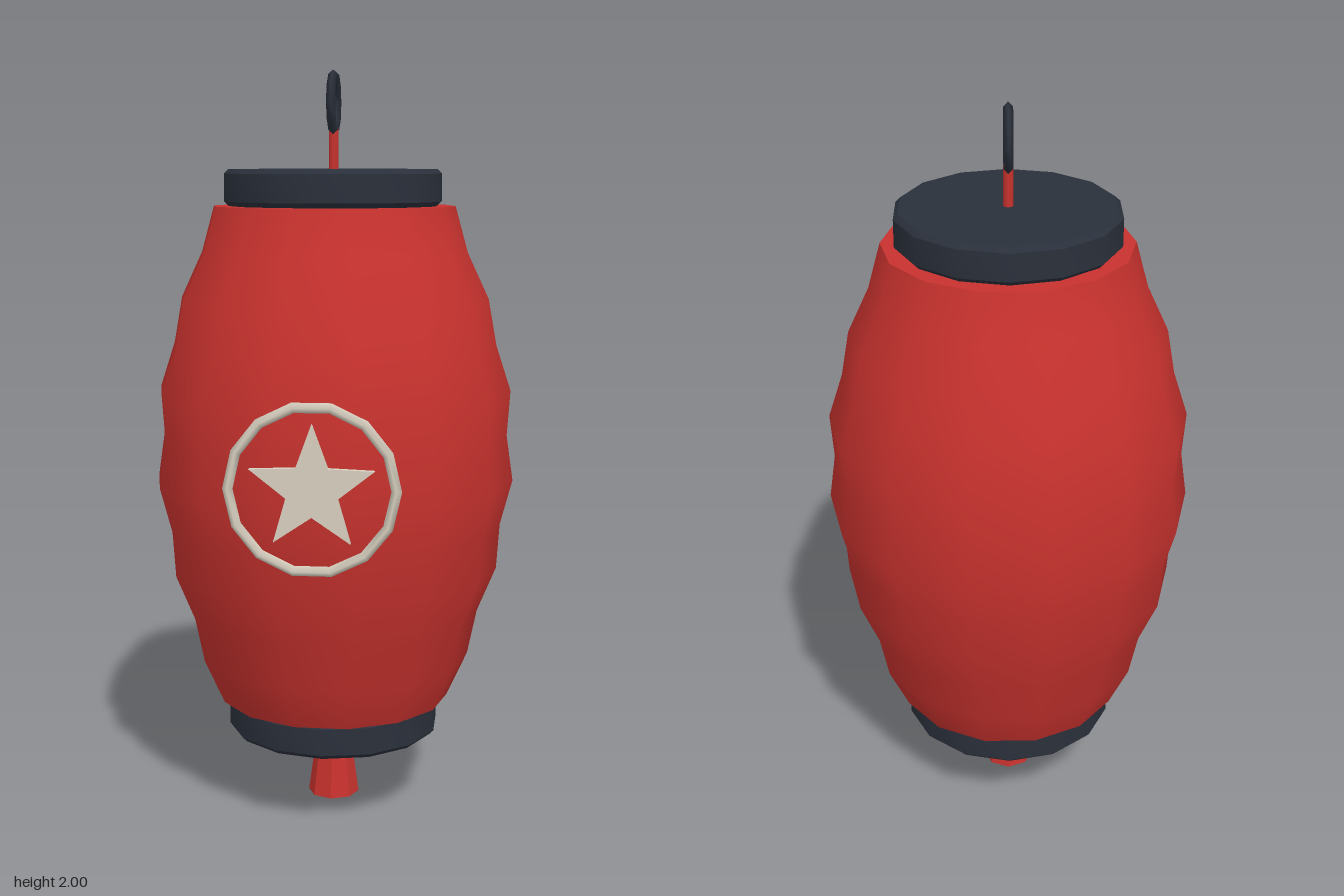
import * as THREE from 'three';
import { toCreasedNormals } from 'three/addons/utils/BufferGeometryUtils.js';

const SIDES = 14;

export function createModel() {
  const model = new THREE.Group();
  const lantern = new THREE.Group();
  lantern.name = 'lantern';
  lantern.position.z = -0.015;
  model.add(lantern);

  const red = new THREE.MeshStandardMaterial({ color: 0xc8322e });
  const dark = new THREE.MeshStandardMaterial({ color: 0x2a303b });
  const cream = new THREE.MeshStandardMaterial({ color: 0xd8d0c0 });

  function add(name, geometry, material, parent = lantern) {
    const mesh = new THREE.Mesh(geometry, material);
    mesh.name = name;
    parent.add(mesh);
    return mesh;
  }

  // Turned part from [radius, y] pairs listed bottom to top
  function turned(profile, sides) {
    const points = profile.map(([r, y]) => new THREE.Vector2(r, y));
    return toCreasedNormals(new THREE.LatheGeometry(points, sides), 0.6);
  }

  // Paper body: evenly spaced ribs, closed at both ends
  const bottom = 0.31, top = 1.65;
  const radii = [0.315, 0.37, 0.395, 0.445, 0.453, 0.485, 0.467, 0.475, 0.435, 0.413, 0.356, 0.322];
  const ribs = radii.map((r, i) => [r, bottom + (top - bottom) * i / (radii.length - 1)]);
  const body = add('paperBody', turned([[0, bottom], ...ribs, [0, top]], SIDES), red);
  body.rotation.y = Math.PI / 2;

  // Bevelled end caps
  const r = 0.29, h = 0.096, b = 0.012;
  const capProfile = [[0, 0], [r - b, 0], [r, b], [r, h - b], [r - b, h], [0, h]];
  for (const [name, y] of [['bottomCap', 0.214], ['topCap', 1.65]]) {
    add(name, turned(capProfile, SIDES), dark).position.y = y;
  }

  // Hanging cord and ring
  add('cord', new THREE.CylinderGeometry(0.013, 0.013, 0.11, 8), red).position.y = 1.795;
  const ring = add('hangingRing', new THREE.TorusGeometry(0.074, 0.012, 4, 10), dark);
  ring.position.y = 1.918;
  ring.rotation.y = Math.PI / 2;

  // Tassel under the bottom cap
  add('tassel', turned([[0, 0], [0.07, 0.016], [0.047, 0.19], [0, 0.212]], 8), red);

  // Front badge: round frame with a five-pointed star
  const badge = new THREE.Group();
  badge.name = 'badge';
  badge.position.set(0, 0.98, 0.468);
  model.add(badge);
  add('badgeFrame', new THREE.TorusGeometry(0.207, 0.013, 4, SIDES), cream, badge);

  const star = new THREE.Shape();
  for (let i = 0; i < 10; i++) {
    const radius = i % 2 ? 0.067 : 0.162;
    const a = Math.PI / 2 + i * Math.PI / 5;
    star[i ? 'lineTo' : 'moveTo'](radius * Math.cos(a), radius * Math.sin(a));
  }
  star.closePath();
  const starGeometry = new THREE.ExtrudeGeometry(star, { depth: 0.016, bevelEnabled: false });
  add('badgeStar', starGeometry, cream, badge).position.z = -0.01;

  return model;
}
